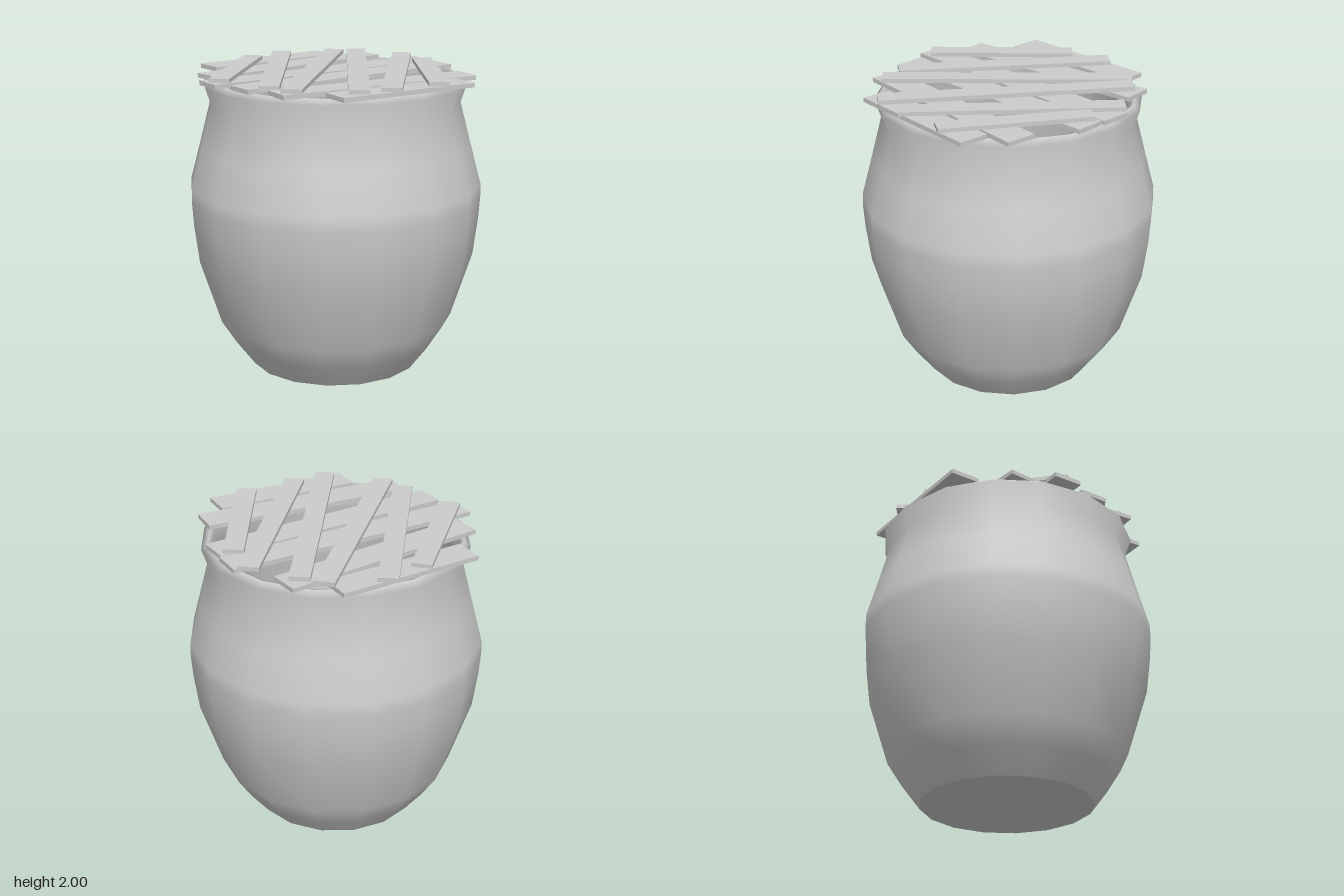
import * as THREE from 'three';

const SIDES = 16;

export function createModel() {
  const model = new THREE.Group();
  const material = new THREE.MeshStandardMaterial({ color: 0xcccccc });

  const add = (name, geometry, parent = model) => {
    const mesh = new THREE.Mesh(geometry, material);
    mesh.name = name;
    parent.add(mesh);
    return mesh;
  };
  const lathe = (points) =>
    new THREE.LatheGeometry(points.map(([r, y]) => new THREE.Vector2(r, y)), SIDES);

  // Pot wall: up the outside, over the flared lip, down the inside
  add('potWall', lathe([
    [0.565, 0], [0.685, 0.16], [0.787, 0.32], [0.925, 0.75], [0.957, 1.0], [0.967, 1.15],
    [0.965, 1.24], [0.895, 1.5], [0.822, 1.78], [0.862, 1.905], [0.82, 1.94],
    [0.79, 1.93], [0.765, 1.78], [0.895, 1.22], [0.89, 1.1], [0.855, 0.75],
    [0.73, 0.34], [0.53, 0.08],
  ]));

  // Flat base and inner floor
  add('potBase', lathe([[0, 0], [0.565, 0]]));
  add('potFloor', lathe([[0.53, 0.08], [0, 0.08]]));

  // Plank laid flat between two end points (x, z)
  const plank = (name, parent, [x1, z1, x2, z2], width, bottom, top) => {
    const length = Math.hypot(x2 - x1, z2 - z1);
    const mesh = add(name, new THREE.BoxGeometry(length, top - bottom, width), parent);
    mesh.position.set((x1 + x2) / 2, (bottom + top) / 2, (z1 + z2) / 2);
    mesh.rotation.y = -Math.atan2(z2 - z1, x2 - x1);
  };

  const lid = new THREE.Group();
  lid.name = 'lid';
  model.add(lid);

  // Lower layer: wide planks running front to back
  [
    [-0.67, -0.475, -0.73, 0.49],
    [-0.45, -0.69, -0.425, 0.715],
    [-0.035, -0.83, -0.19, 0.875],
    [0.17, -0.8, 0.08, 0.825],
    [0.595, -0.62, 0.36, 0.76],
    [0.78, -0.415, 0.65, 0.54],
  ].forEach((ends, i) => plank(`lowerPlank${i + 1}`, lid, ends, 0.2, 1.937, 1.966));

  // Upper layer: narrow diagonal planks, the third one resting slightly higher
  [
    [0.055, -0.725, 0.825, -0.15],
    [-0.2, -0.777, 0.785, 0.21],
    [-0.5, -0.61, 0.745, 0.43],
    [-0.62, -0.515, 0.44, 0.705],
    [-0.8, -0.185, 0.26, 0.735],
    [-0.76, 0.095, -0.135, 0.825],
  ].forEach((ends, i) => {
    const lift = i === 2 ? 0.008 : 0;
    plank(`upperPlank${i + 1}`, lid, ends, 0.13, 1.964 + lift, 1.992 + lift);
  });

  return model;
}
